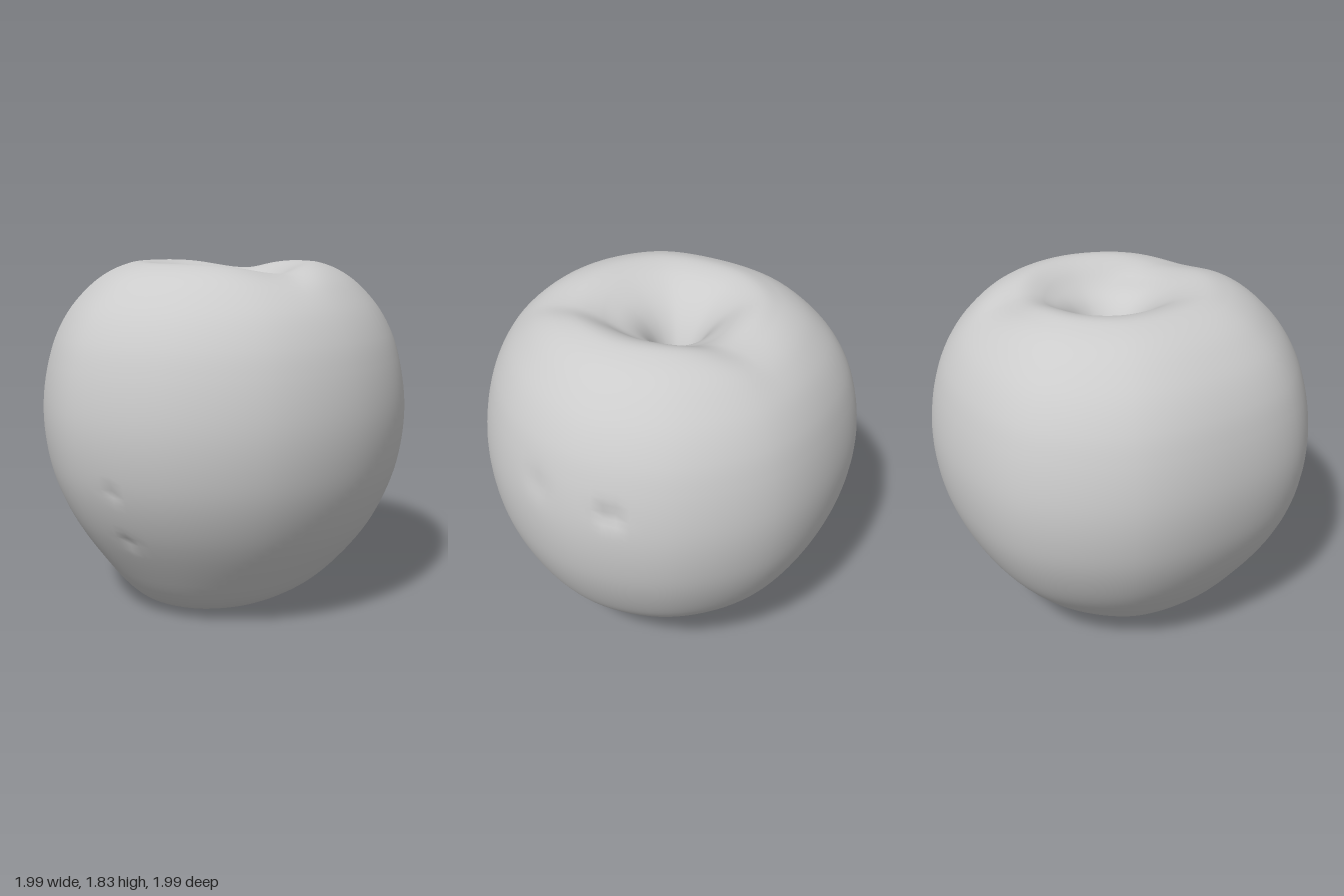
import * as THREE from 'three';
import { ParametricGeometry } from 'three/addons/geometries/ParametricGeometry.js';

const { smoothstep } = THREE.MathUtils;

// Half section (radius, height) from the stem pit, over the shoulder, down to the calyx pit
const section = new THREE.CatmullRomCurve3([
  [0.004, 1.33], [0.03, 1.37], [0.06, 1.46], [0.1, 1.56], [0.15, 1.645], [0.21, 1.715],
  [0.28, 1.77], [0.37, 1.815], [0.47, 1.832], [0.57, 1.807], [0.66, 1.762], [0.74, 1.7],
  [0.84, 1.59], [0.915, 1.46], [0.96, 1.33], [0.99, 1.18], [1, 1.04], [0.99, 0.89],
  [0.96, 0.74], [0.905, 0.59], [0.825, 0.44], [0.72, 0.3], [0.6, 0.175], [0.49, 0.102],
  [0.38, 0.07], [0.29, 0.105], [0.2, 0.18], [0.12, 0.28], [0.075, 0.34], [0.04, 0.325], [0.004, 0.31],
].map(([r, y]) => new THREE.Vector3(r, y, 0)));

// Uneven outline seen from above, one radius every 30 degrees from +x towards +z
const outline = new THREE.CatmullRomCurve3(
  [0.985, 0.955, 0.955, 0.99, 1.02, 1.045, 1.0, 1.035, 1.05, 0.995, 1.0, 1.0].map((r, i) => {
    const a = (i * Math.PI) / 6;
    return new THREE.Vector3(r * Math.cos(a), 0, r * Math.sin(a));
  }), true);

// Small bruises: centre, width, depth
const dents = [
  [[-0.7, 0.77, 0.68], 0.04, 0.012],
  [[-0.6, 0.51, 0.6], 0.045, 0.022],
  [[0.96, 1.2, -0.22], 0.06, 0.022],
  [[0.96, 1.24, 0.2], 0.08, 0.01],
].map(([c, width, depth]) => ({ centre: new THREE.Vector3(...c), width, depth }));

const middle = new THREE.Vector3(0, 0.95, 0);

function skin(u, v, target) {
  const { x: r, y: h } = section.getPoint(v);
  const p = outline.getPoint(u).multiplyScalar(r);
  p.y = h;

  // Both pits sit a little off centre
  const pit = 1 - smoothstep(r, 0.05, 0.6);

  if (h > 1) {
    p.z -= 0.07 * pit;
    // Shallow saddle across the shoulder, steeper on its right
    const fade = smoothstep(r, 0.1, 0.35) * (1 - smoothstep(r, 0.45, 0.85));
    const width = p.x < 0.2 ? 0.24 : 0.14;
    p.y -= 0.05 * fade * Math.exp(-(((p.x - 0.2) / width) ** 2));
  } else {
    p.x -= 0.015 * pit;
    p.z -= 0.15 * pit;
    // Sloping base, lowest at the front right lobe
    const fade = 1 - smoothstep(r, 0.25, 0.85);
    p.y += fade * (0.15 * p.x - 0.14 * p.z);
  }

  for (const { centre, width, depth } of dents) {
    const push = depth * Math.exp(-p.distanceToSquared(centre) / (width * width));
    p.addScaledVector(p.clone().sub(middle).normalize(), -push);
  }
  target.copy(p);
}

export function createModel() {
  const group = new THREE.Group();
  group.name = 'apple';
  const geometry = new ParametricGeometry(skin, 96, 120);
  const body = new THREE.Mesh(geometry, new THREE.MeshStandardMaterial({ color: 0xcccccc }));
  body.name = 'appleBody';

  // Stand on the ground, centred
  geometry.computeBoundingBox();
  const { min, max } = geometry.boundingBox;
  geometry.translate(-(min.x + max.x) / 2, -min.y, -(min.z + max.z) / 2);
  group.add(body);
  return group;
}
